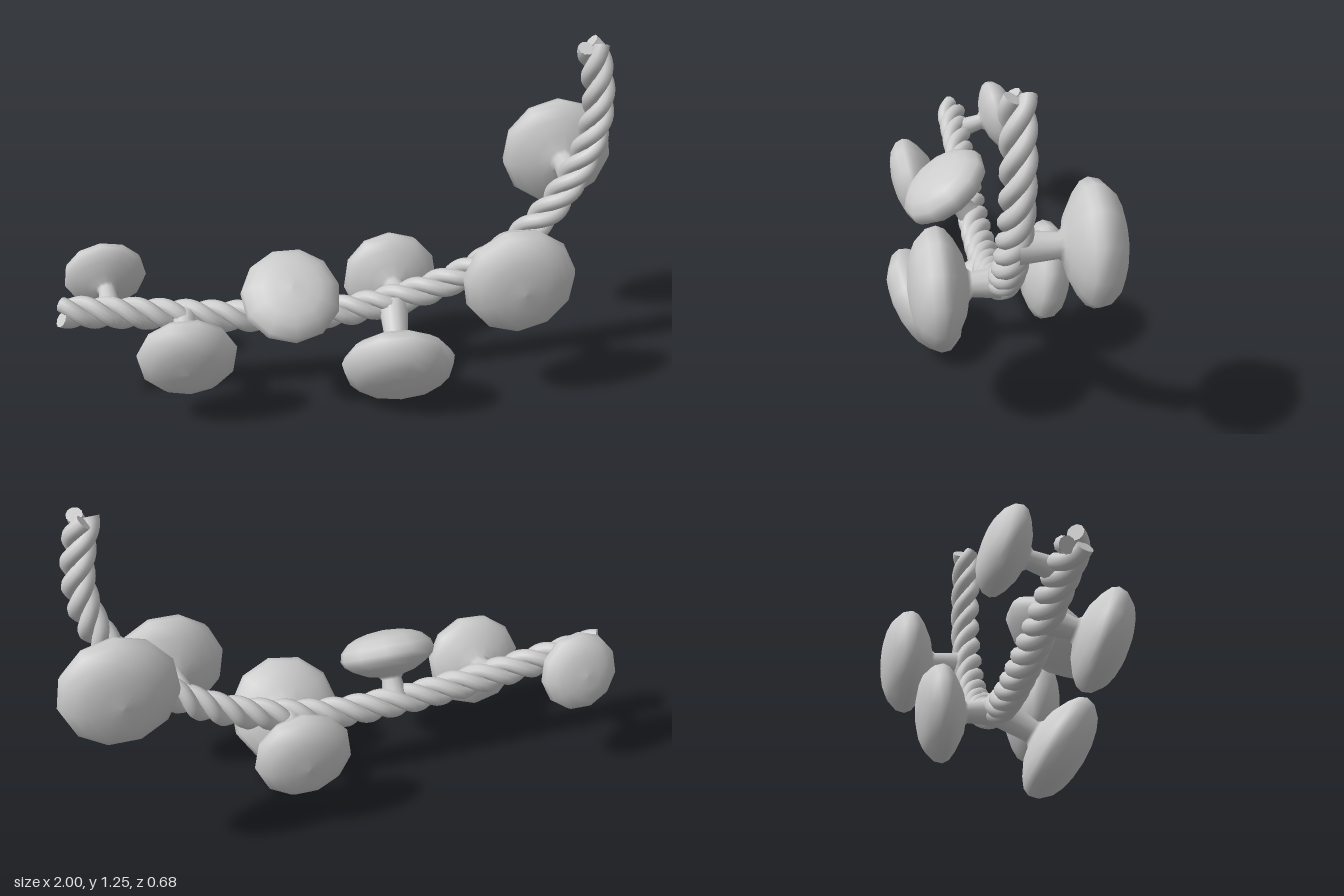
import * as THREE from 'three';

const material = new THREE.MeshStandardMaterial({ color: 0xcccccc });
const UP = new THREE.Vector3(0, 1, 0);
const FORWARD = new THREE.Vector3(0, 0, 1);

// Centre line of the rope, all in the plane z = 0
const ropePath = new THREE.CatmullRomCurve3([
  [-0.985, 0.378], [-0.8, 0.358], [-0.57, 0.325], [-0.38, 0.302], [-0.2, 0.289],
  [0, 0.289], [0.18, 0.318], [0.38, 0.38], [0.56, 0.48], [0.7, 0.61],
  [0.785, 0.74], [0.84, 0.87], [0.86, 1.0], [0.85, 1.12], [0.825, 1.235],
].map(([x, y]) => new THREE.Vector3(x, y, 0)));

const STRANDS = 3, STRAND_RADIUS = 0.027, TWIST_RADIUS = 0.03, PITCH = 0.27;

// One strand winds round the centre line as a right-handed helix
class StrandCurve extends THREE.Curve {
  constructor(phase) {
    super();
    this.phase = phase;
    this.turns = ropePath.getLength() / PITCH;
  }
  getPoint(t, target = new THREE.Vector3()) {
    const tangent = ropePath.getTangentAt(t);
    const side = new THREE.Vector3().crossVectors(FORWARD, tangent).normalize();
    const normal = new THREE.Vector3().crossVectors(tangent, side);
    const a = this.phase + t * this.turns * Math.PI * 2;
    return target.copy(ropePath.getPointAt(t))
      .addScaledVector(side, Math.cos(a) * TWIST_RADIUS)
      .addScaledVector(normal, Math.sin(a) * TWIST_RADIUS);
  }
}

function makeRope() {
  const rope = new THREE.Group();
  rope.name = 'rope';
  for (let i = 0; i < STRANDS; i++) {
    const curve = new StrandCurve(i / STRANDS * Math.PI * 2);
    const strand = new THREE.Mesh(new THREE.TubeGeometry(curve, 200, STRAND_RADIUS, 10), material);
    strand.name = 'strand';
    rope.add(strand);
    // Flat ends
    for (const t of [0, 1]) {
      const cap = new THREE.Mesh(new THREE.CircleGeometry(STRAND_RADIUS, 10), material);
      cap.name = 'strandEnd';
      cap.position.copy(curve.getPointAt(t));
      const out = curve.getTangentAt(t).multiplyScalar(t ? 1 : -1);
      cap.quaternion.setFromUnitVectors(FORWARD, out);
      rope.add(cap);
    }
  }
  return rope;
}

// Domed head on a short stem; the head's widest ring sits at `centre`
function makeKnob(root, centre, radius) {
  const from = new THREE.Vector3(...root);
  const axis = new THREE.Vector3(...centre).sub(from);
  const length = axis.length();
  const head = [
    [0.21, -0.52], [0.27, -0.45], [0.5, -0.4], [0.78, -0.26], [0.95, -0.13], [1.01, 0],
    [0.97, 0.17], [0.8, 0.34], [0.6, 0.43], [0.35, 0.49], [0, 0.52],
  ].map(([r, h]) => new THREE.Vector2(r * radius, length + h * radius));
  const profile = [new THREE.Vector2(0.27 * radius, 0.01), ...head];
  const knob = new THREE.Mesh(new THREE.LatheGeometry(profile, 11), material);
  knob.name = 'knob';
  knob.position.copy(from);
  knob.quaternion.setFromUnitVectors(UP, axis.normalize());
  return knob;
}

export function createModel() {
  const model = new THREE.Group();
  model.name = 'knobbedRope';
  model.add(makeRope());

  // Root on the rope, centre of the head, radius of the head
  const knobs = [
    [[-0.82, 0.36, 0], [-0.83, 0.408, -0.17], 0.142],
    [[-0.57, 0.325, 0], [-0.575, 0.27, 0.175], 0.17],
    [[-0.21, 0.29, 0], [-0.21, 0.425, 0.1], 0.17],
    [[0.165, 0.305, 0], [0.147, 0.183, 0.205], 0.195],
    [[0.56, 0.48, 0], [0.56, 0.475, 0.2], 0.195],
    [[0.19, 0.31, 0], [0.19, 0.295, -0.19], 0.17],
    [[0.8, 0.735, 0], [0.8, 0.735, -0.233], 0.197],
  ];
  for (const spec of knobs) model.add(makeKnob(...spec));
  return model;
}
